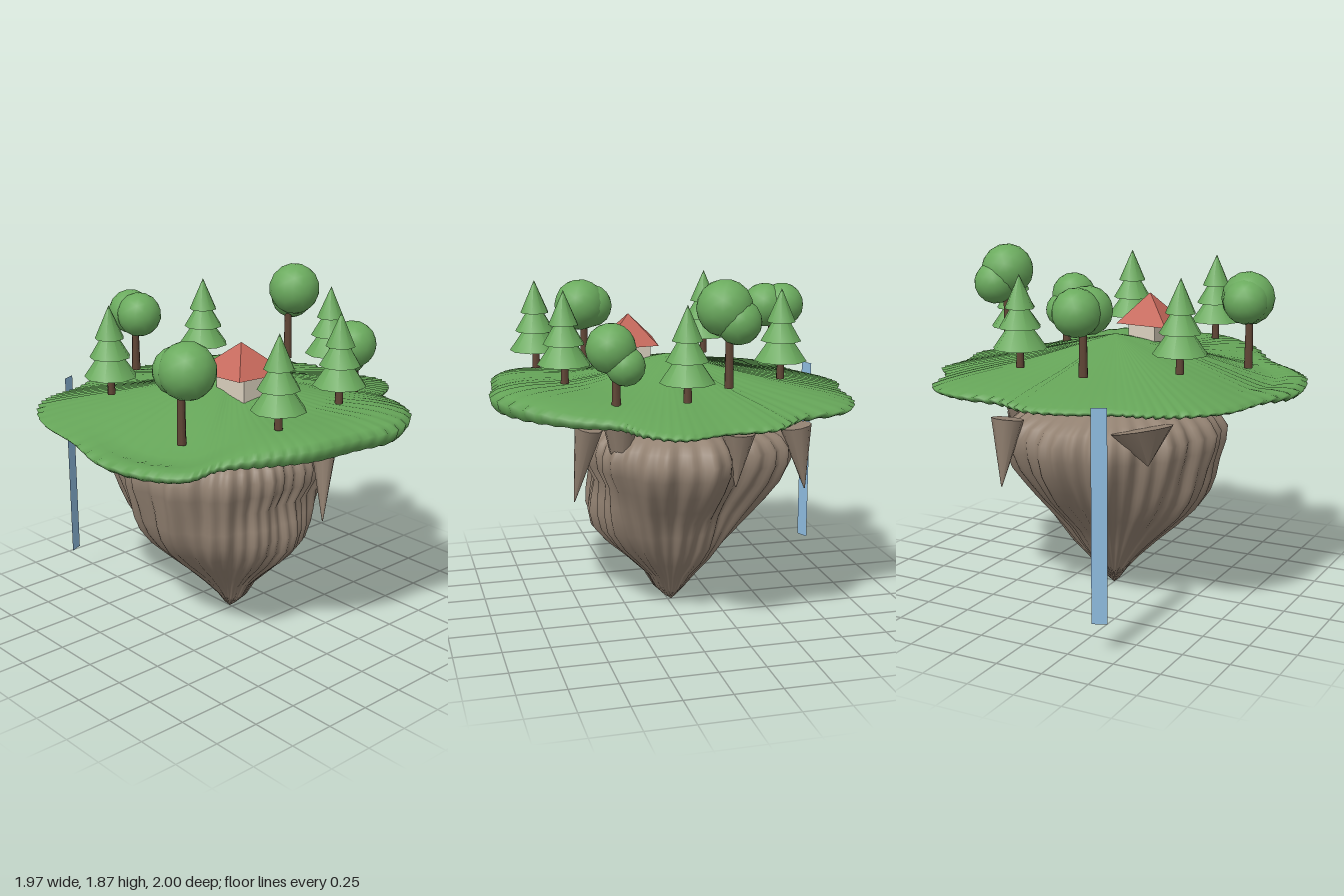
import * as THREE from 'three';

const paint = (name, color) => Object.assign(new THREE.MeshStandardMaterial({ color }), { name });
const V = (x, y, z) => new THREE.Vector3(x, y, z);
const { smoothstep } = THREE.MathUtils;

// Closed solid from a top point, rings running outward and down, and a bottom point
function loft(rings, sides, point) {
  const pos = [], idx = [];
  for (let j = 0; j < rings; j++)
    for (let i = 0; i < sides; i++) pos.push(...point(j, i / sides));
  for (let j = 0; j < rings - 1; j++)
    for (let i = 0; i < sides; i++) {
      const k = (i + 1) % sides, a = j * sides + i, b = j * sides + k;
      idx.push(a, b + sides, a + sides, a, b, b + sides);
    }
  const g = new THREE.BufferGeometry();
  g.setAttribute('position', new THREE.Float32BufferAttribute(pos, 3));
  g.setIndex(idx);
  g.computeVertexNormals();
  return g;
}

// Grass outline: x, z and the height of the lip
const OUTLINE = [
  [0.18, -0.99, 1.2], [0.35, -0.87, 1.21], [0.43, -0.73, 1.22], [0.64, -0.64, 1.24], [0.85, -0.47, 1.27],
  [0.975, -0.22, 1.28], [0.945, 0.02, 1.28], [0.91, 0.29, 1.28], [0.8, 0.49, 1.26], [0.65, 0.66, 1.21],
  [0.6, 0.82, 1.18], [0.45, 0.93, 1.175], [0.13, 0.99, 1.17], [-0.18, 0.93, 1.18], [-0.5, 0.89, 1.19],
  [-0.71, 0.77, 1.2], [-0.81, 0.61, 1.2], [-0.85, 0.43, 1.2], [-0.95, 0.21, 1.2], [-0.98, 0, 1.2],
  [-0.91, -0.19, 1.21], [-0.89, -0.45, 1.21], [-0.79, -0.65, 1.21], [-0.5, -0.76, 1.21], [-0.32, -0.91, 1.2],
  [-0.05, -0.93, 1.2],
];

function grassGeometry() {
  const rim = new THREE.CatmullRomCurve3(OUTLINE.map(([x, z, y]) => V(x, y, z)), true);
  const fractions = [0, 0.1, 0.25, 0.4, 0.55, 0.68, 0.78, 0.84, 0.9, 0.96, 1, 0.99, 0.97, 0.9, 0.5, 0];
  return loft(fractions.length, 288, (j, u) => {
    const p = rim.getPoint(u), a = u * Math.PI * 2;
    const wave = Math.sin(86 * a + 5 * Math.sin(3 * a)) * (0.65 + 0.35 * Math.sin(7 * a));
    const front = Math.exp(-(((Math.atan2(p.z, p.x) - 1.22) / 0.42) ** 2));
    let f = fractions[j], y;
    if (j < 10) {
      // domed top with fine radial ridges, and a valley behind the front lip
      y = 1.41 - 0.235 * f ** 1.05 + (p.y - 1.18) * smoothstep(f, 0.4, 0.95) + 0.004 * wave * f;
      y -= 0.05 * front * smoothstep(f, 0.25, 0.84) * (1 - smoothstep(f, 0.82, 0.95));
    } else if (j < 13) {
      // scalloped lip
      const drop = 0.03 + Math.max(0, p.y - 1.2) * 0.75 + 0.025 * front;
      y = p.y - drop * [0.25, 0.7, 1][j - 10] + 0.009 * wave;
      f += 0.01 * wave;
    } else y = 1.175 - (j === 13 ? 0.04 * front : 0);
    return [p.x * f, y, p.z * f];
  });
}

// Rock profile: height, then reach towards +x, +z, -x and -z
const ROCK = [
  [1.155, 0, 0, 0, 0], [1.14, 0.12, 0.13, 0.12, 0.14], [1.11, 0.23, 0.29, 0.25, 0.32], [1.07, 0.33, 0.44, 0.4, 0.44],
  [1.03, 0.42, 0.53, 0.53, 0.53], [0.99, 0.47, 0.57, 0.61, 0.58], [0.93, 0.49, 0.61, 0.65, 0.62],
  [0.85, 0.48, 0.6, 0.645, 0.61], [0.75, 0.43, 0.57, 0.61, 0.55], [0.65, 0.45, 0.55, 0.54, 0.47],
  [0.57, 0.46, 0.52, 0.48, 0.4], [0.48, 0.44, 0.46, 0.39, 0.36], [0.38, 0.36, 0.36, 0.29, 0.32],
  [0.28, 0.25, 0.25, 0.22, 0.25], [0.18, 0.15, 0.15, 0.15, 0.15], [0.09, 0.1, 0.07, 0.07, 0.09],
  [0.03, 0.04, 0.03, 0.03, 0.03], [0, 0, 0, 0, 0],
];

function rockGeometry() {
  return loft(ROCK.length, 216, (j, u) => {
    const [y, px, pz, nx, nz] = ROCK[j], a = u * Math.PI * 2, c = Math.cos(a), s = Math.sin(a);
    let r = (c > 0 ? px : nx) * c * c + (s > 0 ? pz : nz) * s * s;
    r *= 1 + 0.02 * Math.sin(38 * a + 3 * Math.sin(2 * a) + 2 * y) + 0.022 * Math.sin(13 * a + 5 * y);
    // cleft in the back
    r *= 1 - 0.2 * Math.exp(-(((a - 4.19) / 0.2) ** 2)) * smoothstep(y, 0.3, 0.7);
    return [c * r - 0.02, y, s * r];
  });
}

export function createModel() {
  const model = new THREE.Group();
  model.name = 'floatingIsland';
  const grass = paint('grass green', 0x65a458), leaf = paint('leaf green', 0x6bab5e);
  const stone = paint('stone brown', 0x938272), bark = paint('bark brown', 0x614636);
  const tile = paint('roof red', 0xc4675a), plaster = paint('plaster cream', 0xdad0be);
  const water = paint('water blue', 0x8ebbdf);
  water.side = THREE.DoubleSide;

  const add = (name, geometry, material, x = 0, y = 0, z = 0, parent = model) => {
    const mesh = new THREE.Mesh(geometry, material);
    mesh.name = name;
    mesh.position.set(x, y, z);
    parent.add(mesh);
    return mesh;
  };

  add('grassCap', grassGeometry(), grass);
  add('rock', rockGeometry(), stone);

  // Hanging stone spikes: top centre, tip, radius
  for (const [top, tip, r] of [
    [V(0.48, 1.08, -0.22), V(0.55, 0.66, -0.15), 0.075],
    [V(0.34, 1.125, -0.34), V(0.33, 0.72, -0.32), 0.09],
    [V(-0.63, 1.04, -0.3), V(-0.685, 0.69, -0.31), 0.085],
    [V(-0.26, 1.06, -0.45), V(-0.25, 0.77, -0.45), 0.09],
    [V(-0.49, 1.03, 0.4), V(-0.505, 0.85, 0.44), 0.16],
  ]) {
    const axis = top.clone().sub(tip), mid = top.clone().add(tip).multiplyScalar(0.5);
    const spike = add('stoneSpike', new THREE.CylinderGeometry(r, 0.003, axis.length(), 10), stone, mid.x, mid.y, mid.z);
    spike.quaternion.setFromUnitVectors(V(0, 1, 0), axis.normalize());
  }

  // Waterfall sheet
  const fall = add('waterfall', new THREE.PlaneGeometry(0.078, 1.07), water, -0.95, 0.7, 0.4);
  fall.rotation.y = -1.16;

  // Pine trees: x, z and tip height
  for (const [x, z, tip] of [
    [0.075, -0.675, 1.77], [-0.545, -0.27, 1.775], [0.597, -0.2, 1.795], [0.667, 0.3, 1.785], [-0.355, 0.54, 1.78],
  ]) {
    const pine = new THREE.Group();
    pine.name = 'pineTree';
    pine.position.set(x, tip - 0.48, z);
    model.add(pine);
    add('pineTrunk', new THREE.CylinderGeometry(0.018, 0.022, 0.14, 7), bark, 0, 0.07, 0, pine);
    for (const [y, r, h] of [[0.1, 0.14, 0.2], [0.205, 0.108, 0.18], [0.305, 0.077, 0.175]])
      add('pineTier', new THREE.ConeGeometry(r, h, 9), leaf, 0, y + h / 2, 0, pine);
  }

  // Round trees: trunk x, z, base, top, then crown balls as x, y, z, radius
  for (const [x, z, base, top, balls] of [
    [-0.165, -0.58, 1.33, 1.66, [[-0.135, 1.735, -0.595, 0.142], [-0.195, 1.67, -0.635, 0.115]]],
    [0.4, -0.53, 1.26, 1.48, [[0.415, 1.54, -0.49, 0.127], [0.35, 1.455, -0.525, 0.1]]],
    [-0.64, 0.15, 1.3, 1.56, [[-0.69, 1.625, 0.14, 0.122], [-0.595, 1.625, 0.155, 0.122]]],
    [0.335, 0.635, 1.22, 1.55, [[0.36, 1.595, 0.615, 0.145], [0.295, 1.585, 0.625, 0.122]]],
  ]) {
    const tree = new THREE.Group();
    tree.name = 'roundTree';
    model.add(tree);
    add('treeTrunk', new THREE.CylinderGeometry(0.019, 0.024, top - base, 7), bark, x, (base + top) / 2, z, tree);
    for (const [bx, by, bz, r] of balls) add('treeCrown', new THREE.IcosahedronGeometry(r, 2), leaf, bx, by, bz, tree);
  }

  // Cottage with a diamond-shaped hipped roof
  const house = new THREE.Group();
  house.name = 'cottage';
  house.position.set(0.192, 1.32, 0.11);
  model.add(house);
  add('walls', new THREE.BoxGeometry(0.21, 0.14, 0.155), plaster, 0, 0.07, 0, house);
  const roofShape = new THREE.ConeGeometry(1, 0.16, 4).scale(0.193, 1, 0.246).toNonIndexed();
  roofShape.computeVertexNormals();
  add('roof', roofShape, tile, 0, 0.215, 0, house).rotation.y = -Math.PI / 4;

  return model;
}
